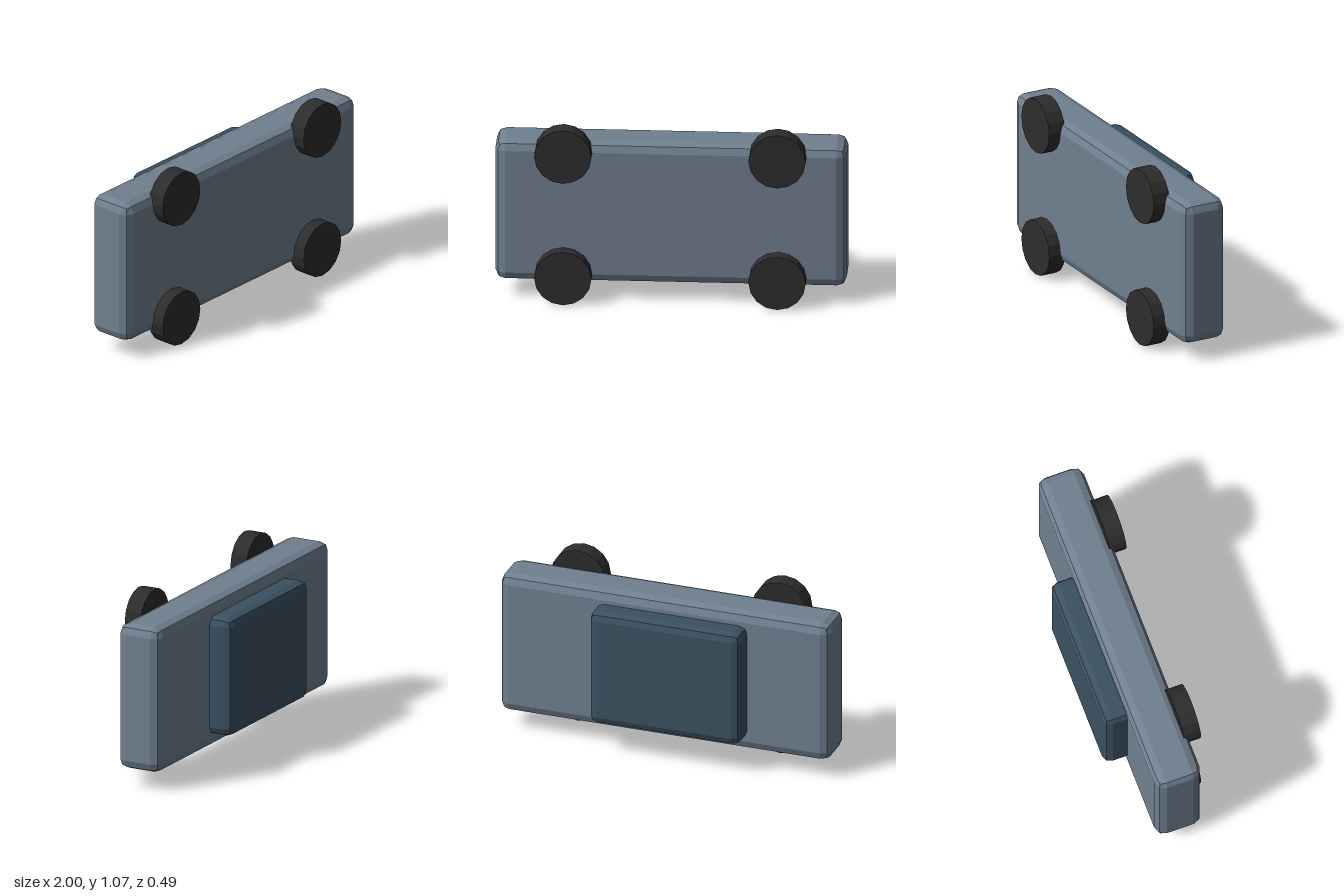
import * as THREE from 'three';
import { RoundedBoxGeometry } from 'three/addons/geometries/RoundedBoxGeometry.js';

function makeMaterial(name, color) {
  const m = new THREE.MeshStandardMaterial({ color, flatShading: true });
  m.name = name;
  return m;
}

// Bevelled box given by its minimum and maximum corners
function bevelledBox(name, min, max, radius, material) {
  const size = max.map((v, i) => v - min[i]);
  const mesh = new THREE.Mesh(new RoundedBoxGeometry(...size, 1, radius), material);
  mesh.position.set(...max.map((v, i) => (v + min[i]) / 2));
  mesh.name = name;
  return mesh;
}

export function createModel() {
  const group = new THREE.Group();
  group.name = 'toyCar';
  const paint = makeMaterial('slate paint', 0x708090);
  const glass = makeMaterial('dark blue cabin', 0x3b5161);
  const rubber = makeMaterial('black rubber', 0x2d2d2d);

  // Car lying on its side: roof towards -z, wheels towards +z
  group.add(bevelledBox('body', [-1, 0.106, -0.105], [1, 0.968, 0.17], 0.057, paint));
  group.add(bevelledBox('cabin', [-0.506, 0.187, -0.242], [0.408, 0.888, 0.02], 0.048, glass));

  // Four wheels
  const wheelGeometry = new THREE.CylinderGeometry(0.163, 0.163, 0.102, 16).rotateX(Math.PI / 2);
  for (const [side, x] of [['left', 0.61], ['right', -0.61]]) {
    for (const [level, y] of [['Lower', 0.163], ['Upper', 0.911]]) {
      const wheel = new THREE.Mesh(wheelGeometry, rubber);
      wheel.position.set(x, y, 0.192);
      wheel.name = side + level + 'Wheel';
      group.add(wheel);
    }
  }
  return group;
}
